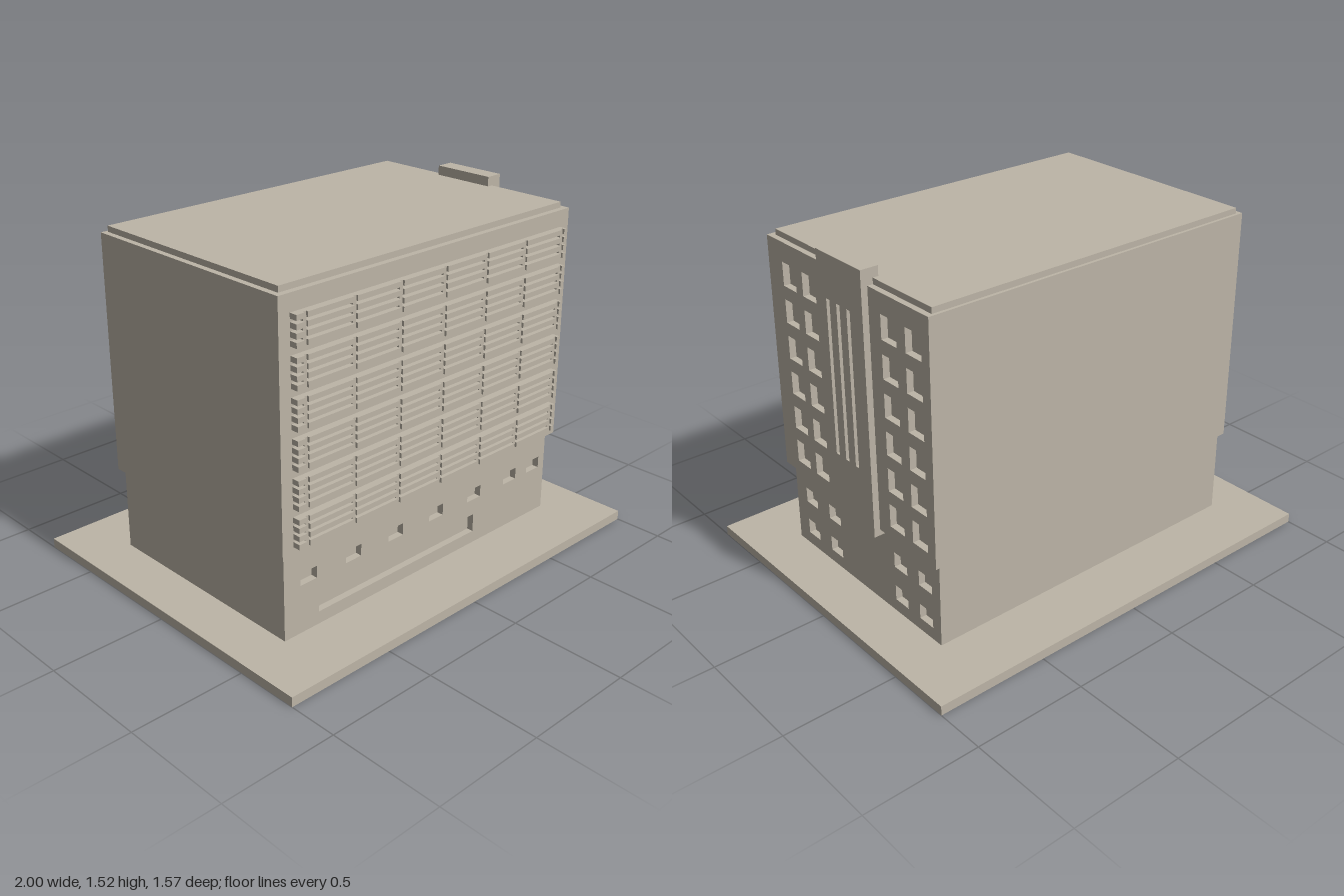
import * as THREE from 'three';

const stone = new THREE.MeshStandardMaterial({ color: 0xbdb5a7 });
stone.name = 'stone';

function box(parent, name, x0, x1, y0, y1, z0, z1) {
  const mesh = new THREE.Mesh(new THREE.BoxGeometry(x1 - x0, y1 - y0, z1 - z0), stone);
  mesh.position.set((x0 + x1) / 2, (y0 + y1) / 2, (z0 + z1) / 2);
  mesh.name = name;
  parent.add(mesh);
  return mesh;
}

function rect(PathType, [u0, u1, v0, v1]) {
  const p = new PathType();
  p.moveTo(u0, v0);
  p.lineTo(u1, v0);
  p.lineTo(u1, v1);
  p.lineTo(u0, v1);
  p.closePath();
  return p;
}

// Wall panel with rectangular openings, facing +z
function wall(parent, name, outline, holes, depth) {
  const shape = rect(THREE.Shape, outline);
  shape.holes = holes.map((h) => rect(THREE.Path, h));
  const geo = new THREE.ExtrudeGeometry(shape, { depth, bevelEnabled: false });
  const mesh = new THREE.Mesh(geo, stone);
  mesh.name = name;
  parent.add(mesh);
  return mesh;
}

// The same panel turned to face +x, with spans given along z
function sideWall(parent, name, [z0, z1, y0, y1], holes, depth, x) {
  const flip = ([a, b, c, d]) => [-b, -a, c, d];
  const mesh = wall(parent, name, flip([z0, z1, y0, y1]), holes.map(flip), depth);
  mesh.rotation.y = Math.PI / 2;
  mesh.position.x = x - depth;
  return mesh;
}

export function createModel() {
  const model = new THREE.Group();
  model.name = 'officeBuilding';
  const D = 0.03;
  const floors = 6, pitch = 0.16;

  box(model, 'groundSlab', -1, 1, 0, 0.042, -0.785, 0.785);

  // Lower storeys with recessed windows
  const lower = new THREE.Group();
  lower.name = 'lowerStoreys';
  model.add(lower);
  const L = { x0: -0.787, x1: 0.783, y0: 0.042, y1: 0.416, z0: -0.507, z1: 0.506 };
  box(lower, 'lowerCore', L.x0, L.x1 - D, L.y0, L.y1, L.z0, L.z1 - D);
  const frontHoles = [-0.66, -0.42, -0.18, 0.062, 0.302, 0.541, 0.702]
    .map((x) => [x - 0.042, x + 0.042, 0.254, 0.307]);
  frontHoles.push([-0.607, 0.304, 0.097, 0.18]);
  wall(lower, 'lowerFrontWall', [L.x0, L.x1, L.y0, L.y1], frontHoles, D).position.z = L.z1 - D;
  const lowerHoles = [];
  for (const z of [0.388, 0.213, -0.253, -0.414]) {
    for (const y of [0.097, 0.256]) lowerHoles.push([z - 0.042, z + 0.042, y, y + 0.069]);
  }
  sideWall(lower, 'lowerSideWall', [L.z0, L.z1 - D, L.y0, L.y1], lowerHoles, D, L.x1);

  // Overhanging upper storeys
  const upper = new THREE.Group();
  upper.name = 'upperStoreys';
  model.add(upper);
  const U = { x0: -0.812, x1: 0.808, y0: 0.416, y1: 1.455, z0: -0.52, z1: 0.532 };
  box(upper, 'upperCore', U.x0, U.x1 - D, U.y0, U.y1, U.z0, U.z1);
  const upperHoles = [];
  for (const z of [0.384, 0.243, -0.279, -0.426]) {
    for (let i = 0; i < floors; i++) {
      const y = 0.468 + i * pitch;
      upperHoles.push([z - 0.047, z + 0.047, y, y + 0.102]);
    }
  }
  sideWall(upper, 'upperSideWall', [U.z0, U.z1, U.y0, U.y1], upperHoles, D, U.x1);
  box(model, 'roofSlab', L.x0, L.x1, U.y1, 1.48, L.z0, L.z1);

  // Stair tower with three vertical slots
  const tower = new THREE.Group();
  tower.name = 'stairTower';
  model.add(tower);
  box(tower, 'towerCore', 0.758, 0.816, 0.39, 1.522, -0.159, 0.131);
  const slots = [0.068, 0.001, -0.066].map((z) => [z - 0.011, z + 0.011, 0.67, 1.337]);
  sideWall(tower, 'towerFace', [-0.159, 0.131, 0.39, 1.522], slots, 0.02, 0.836);

  // Sunshade louvres: four slats per floor, divided by slim posts
  const posts = [-0.712, -0.47, -0.229, 0.012, 0.253, 0.493, 0.732];
  const ends = [-0.758, ...posts, 0.755];
  for (let i = 0; i < floors; i++) {
    const louvre = new THREE.Group();
    louvre.name = 'louvre' + (i + 1);
    model.add(louvre);
    const y0 = 0.457 + i * pitch;
    for (let s = 0; s < 4; s++) {
      const y = y0 + s * 0.0345;
      for (let k = 0; k < ends.length - 1; k++) {
        const a = ends[k] + (k > 0 ? 0.008 : 0);
        const b = ends[k + 1] - (k < ends.length - 2 ? 0.008 : 0);
        box(louvre, 'slat', a, b, y, y + 0.022, U.z1, 0.566);
      }
    }
    for (const x of posts) box(louvre, 'post', x - 0.008, x + 0.008, y0, y0 + 0.1255, U.z1, 0.557);
  }
  return model;
}
